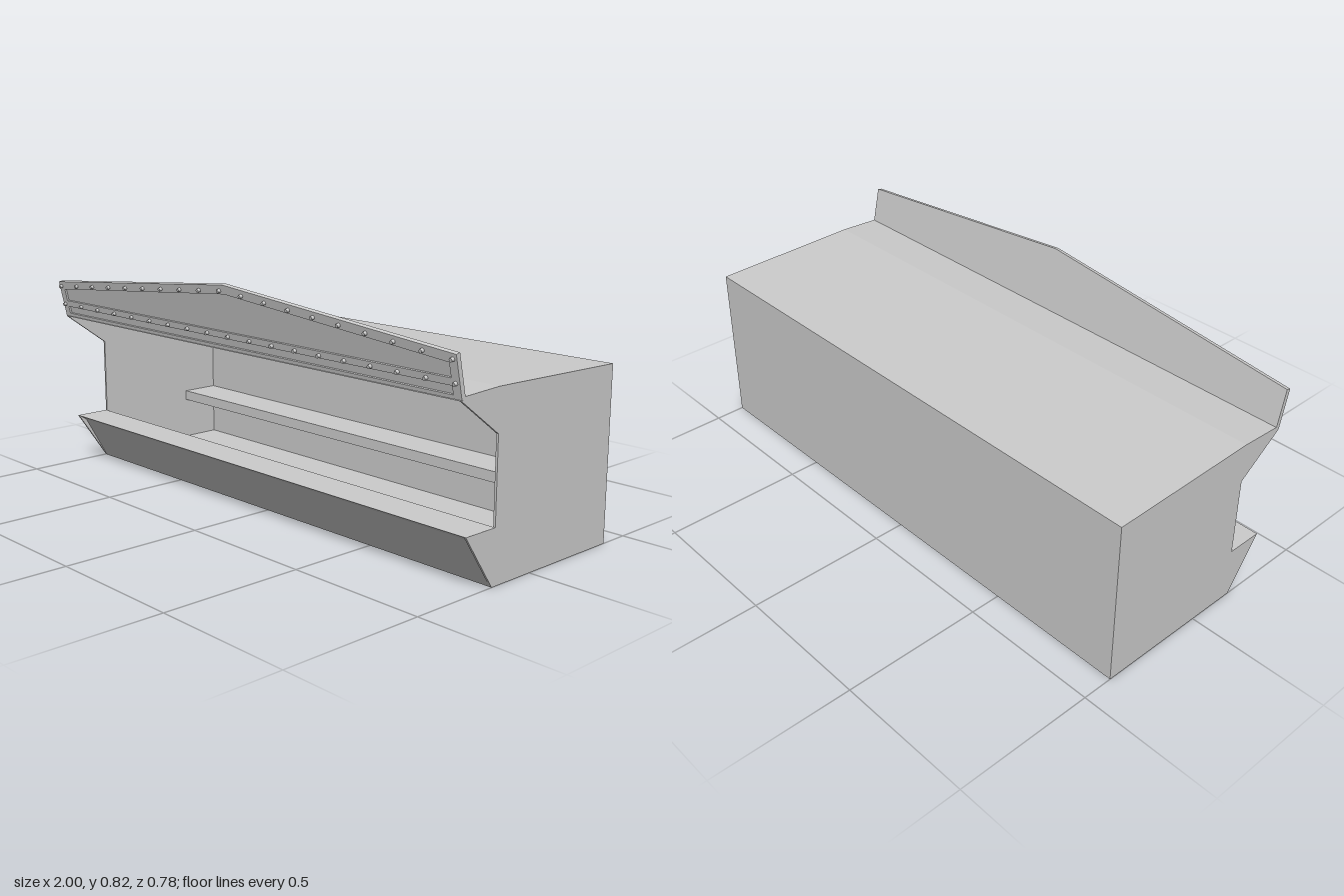
import * as THREE from 'three';

const material = new THREE.MeshStandardMaterial({ color: 0xcccccc });

function addMesh(parent, geometry, name) {
  const mesh = new THREE.Mesh(geometry, material);
  mesh.name = name;
  parent.add(mesh);
  return mesh;
}

function toShape(points) {
  return new THREE.Shape(points.map(([a, b]) => new THREE.Vector2(a, b)));
}

// Extrudes a (z, y) cross-section along x, centred on the given x
function addProfile(parent, name, points, width, x = 0) {
  const geometry = new THREE.ExtrudeGeometry(toShape(points), { depth: width, bevelEnabled: false });
  geometry.translate(0, 0, -width / 2);
  geometry.rotateY(-Math.PI / 2);
  geometry.translate(x, 0, 0);
  return addMesh(parent, geometry, name);
}

export function createModel() {
  const model = new THREE.Group();
  model.name = 'marketStall';

  const wall = 0.008;
  const inner = 2 - 2 * wall;

  // Side walls with the serving opening cut into the front
  const sideProfile = [
    [-0.39, 0], [0.178, 0], [0.302, 0.183], [0.17, 0.183], [0.17, 0.465],
    [0.335, 0.585], [0.32, 0.598], [0.17, 0.605], [-0.39, 0.594],
  ];
  for (const side of [-1, 1]) {
    addProfile(model, side > 0 ? 'leftWall' : 'rightWall', sideProfile, wall, side * (1 - wall / 2));
  }

  // Shell between the side walls
  addProfile(model, 'floor', [[-0.39, 0], [0.178, 0], [0.178, 0.006], [-0.39, 0.006]], inner);
  addProfile(model, 'backWall', [[-0.39, 0], [-0.378, 0], [-0.378, 0.594], [-0.39, 0.594]], inner);
  addProfile(model, 'roof', [
    [-0.39, 0.594], [-0.39, 0.582], [0.17, 0.593], [0.335, 0.585], [0.32, 0.598], [0.17, 0.605],
  ], inner);

  // Sloping front panel and the counter with its undercut lip
  addProfile(model, 'frontPanel', [[0.166, 0], [0.178, 0], [0.27, 0.163], [0.258, 0.163]], inner);
  addProfile(model, 'counter', [[0.17, 0.163], [0.27, 0.163], [0.302, 0.183], [0.17, 0.183]], inner);

  // Two shelves on the back wall
  for (const [name, top] of [['lowerShelf', 0.203], ['upperShelf', 0.482]]) {
    addProfile(model, name, [[-0.38, top - 0.038], [-0.23, top - 0.038], [-0.23, top], [-0.38, top]], inner);
  }

  // Gabled sign board leaning forward; its local front face is z = 0
  const board = new THREE.Group();
  board.name = 'signBoard';
  const tilt = Math.atan(0.219);
  const baseY = 0.588;
  board.position.set(0, baseY, 0.335);
  board.rotation.x = tilt;
  model.add(board);

  const up = (y) => (y - baseY) / Math.cos(tilt);
  const peakX = 0.02;
  const outline = [[-1, up(0.588)], [1, up(0.588)], [1, up(0.722)], [peakX, up(0.814)], [-1, up(0.722)]];
  const lowerWindow = [[-0.97, up(0.6)], [0.97, up(0.6)], [0.97, up(0.627)], [-0.97, up(0.627)]];
  const upperWindow = [
    [-0.97, up(0.65)], [0.97, up(0.65)], [0.97, up(0.695)], [peakX, up(0.783)], [-0.97, up(0.695)],
  ];

  const backing = new THREE.ExtrudeGeometry(toShape(outline), { depth: 0.009, bevelEnabled: false });
  backing.translate(0, 0, -0.016);
  addMesh(board, backing, 'boardBacking');

  const frameShape = toShape(outline);
  frameShape.holes.push(toShape(lowerWindow), toShape(upperWindow));
  const frame = new THREE.ExtrudeGeometry(frameShape, { depth: 0.007, bevelEnabled: false });
  frame.translate(0, 0, -0.007);
  addMesh(board, frame, 'boardFrame');

  // Rivets along the middle rail and the gable rail
  const rivetGeometry = new THREE.CylinderGeometry(0.006, 0.007, 0.011, 10);
  rivetGeometry.rotateX(Math.PI / 2);
  const count = 18;
  for (let i = 0; i <= count; i++) {
    const x = -0.985 + (1.97 * i) / count;
    const rise = 1 - Math.abs(x - peakX) / (1 + Math.sign(x - peakX) * -peakX);
    for (const y of [0.636, 0.705 + 0.09 * rise]) {
      addMesh(board, rivetGeometry, 'rivet').position.set(x, up(y), 0.005);
    }
  }

  return model;
}
